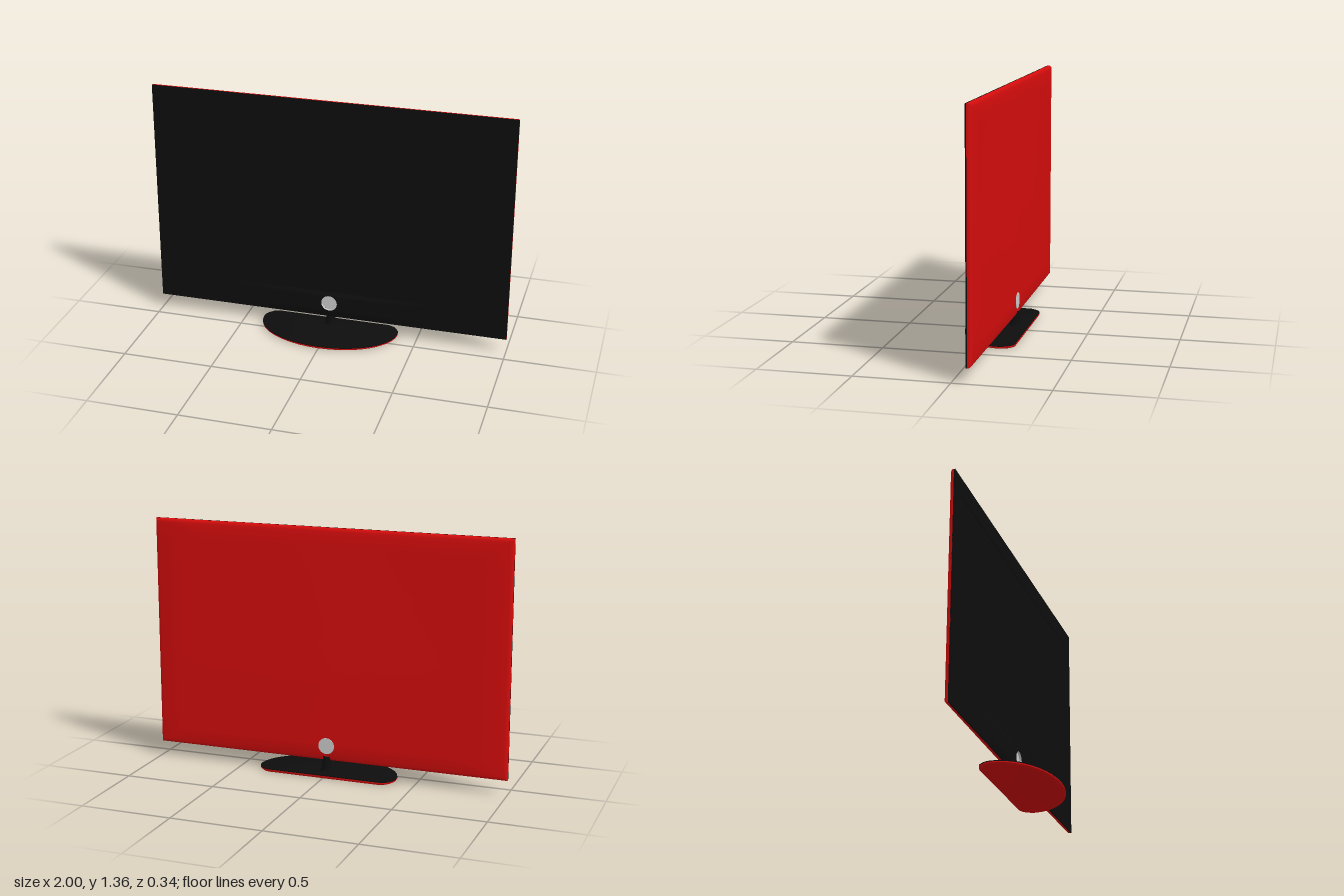
import * as THREE from 'three';
import { toCreasedNormals } from 'three/addons/utils/BufferGeometryUtils.js';

const black = new THREE.MeshStandardMaterial({ color: 0x0d0d0d });
const red = new THREE.MeshStandardMaterial({ color: 0xd40c0c });
const grey = new THREE.MeshStandardMaterial({ color: 0xcccccc, side: THREE.DoubleSide });

const W = 1, BOTTOM = 0.08, TOP = 1.355;           // panel half width, lower and upper edge
const MID = (BOTTOM + TOP) / 2, H = (TOP - BOTTOM) / 2;
const HUB_Y = 0.165, HUB_R = 0.045;                // round hub in the lower bezel

// Skin a list of closed rings, each a list of [x, y, z]
function loft(rings, crease = 0.6) {
  const n = rings[0].length, index = [];
  for (let i = 0; i < rings.length - 1; i++) {
    for (let j = 0; j < n; j++) {
      const a = i * n + j, b = i * n + (j + 1) % n;
      index.push(a, b, a + n, b, b + n, a + n);
    }
  }
  const geo = new THREE.BufferGeometry();
  geo.setAttribute('position', new THREE.Float32BufferAttribute(rings.flat(2), 3));
  geo.setIndex(index);
  return toCreasedNormals(geo, crease);
}

// Unit square outline, counter-clockwise, n points per side
function squareOutline(n) {
  const pts = [];
  for (let side = 0; side < 4; side++) {
    for (let k = 0; k < n; k++) {
      const t = -1 + 2 * k / n;
      pts.push([[t, -1], [1, t], [-t, 1], [-1, -t]][side]);
    }
  }
  return pts;
}

function rectPath(target, x0, y0, x1, y1) {
  target.moveTo(x0, y0);
  target.lineTo(x1, y0);
  target.lineTo(x1, y1);
  target.lineTo(x0, y1);
  target.closePath();
  return target;
}

// Bezel with openings for the screen and the hub
function bezelGeometry() {
  const shape = rectPath(new THREE.Shape(), -W, BOTTOM, W, TOP);
  shape.holes.push(rectPath(new THREE.Path(), -0.9, 0.23, 0.9, 1.25));
  shape.holes.push(new THREE.Path().absarc(0, HUB_Y, HUB_R, 0, Math.PI * 2, true));
  const geo = new THREE.ExtrudeGeometry(shape, { depth: 0.007, bevelEnabled: false, curveSegments: 24 });
  return geo.translate(0, 0, -0.082);
}

// Gentle swelling of the lower bezel, fading to both sides and open around the hub
function swellGeometry() {
  const hx = 0.6, hy = 0.075, cy = 0.155, rings = [];
  for (let i = 0; i <= 10; i++) {
    const t = i / 10;
    rings.push(squareOutline(12).map(([u, v]) => {
      const a = Math.atan2(v, u);
      const x = THREE.MathUtils.lerp(u * hx, HUB_R * Math.cos(a), t);
      const y = THREE.MathUtils.lerp(cy + v * hy, HUB_Y + HUB_R * Math.sin(a), t);
      const rise = Math.min(1, (y - BOTTOM) / 0.035, (0.23 - y) / 0.02);
      return [x, y, -0.0747 + 0.0097 * Math.max(0, rise) * (1 - (x / hx) ** 2)];
    }));
  }
  return loft(rings);
}

// Back shell: rounded rim, then a shallow bulge that grows toward the lower middle
function shellGeometry() {
  const outline = squareOutline(12).reverse();
  const bulge = (x, y) => 0.009 * (1 - Math.abs(x)) * Math.min(1, (TOP - y) / 0.75);
  const rings = [];
  const addRing = (hx, hy, z, amount) => rings.push(outline.map(([u, v]) => {
    const x = u * hx, y = MID + v * hy;
    return [x, y, z - amount * bulge(x, y)];
  }));
  const rim = [[0, -0.08, 0], [0, -0.09, 0], [0.003, -0.096, 0.3], [0.009, -0.101, 0.7], [0.02, -0.104, 1]];
  for (const [inset, z, amount] of rim) addRing(W - inset, H - inset, z, amount);
  for (let i = 7; i >= 0; i--) addRing((W - 0.02) * i / 8, (H - 0.02) * i / 8, -0.104, 1);
  return loft(rings);
}

// Foot outline: half ellipse in front, flat back with rounded corners
function footOutline() {
  const pts = [];
  for (let i = 0; i <= 20; i++) {
    const a = Math.PI * (1 + i / 20);
    pts.push([0.39 * Math.cos(a), -0.09 - 0.255 * Math.sin(a)]);
  }
  const corner = [[0.386, -0.115], [0.372, -0.14], [0.352, -0.16], [0.325, -0.17]];
  pts.push(...corner, ...corner.map(([x, z]) => [-x, z]).reverse());
  return pts;
}

// Foot layers from [scale, height] steps
function footGeometry(steps) {
  const outline = footOutline(), cz = -0.1;
  return loft(steps.map(([s, y]) => outline.map(([x, z]) => [x * s, y, cz + (z - cz) * s])));
}

export function createModel() {
  const model = new THREE.Group();
  const add = (name, geo, mat, parent = model) => {
    const mesh = new THREE.Mesh(geo, mat);
    mesh.name = name;
    parent.add(mesh);
    return mesh;
  };

  // Display panel
  const panel = new THREE.Group();
  panel.name = 'displayPanel';
  model.add(panel);
  add('bezel', bezelGeometry(), black, panel);
  add('lowerBezelSwell', swellGeometry(), black, panel);
  add('screen', new THREE.BoxGeometry(1.8, 1.02, 0.003).translate(0, 0.74, -0.0795), black, panel);
  add('backShell', shellGeometry(), red, panel);

  // Hub disc, recessed in front and flush at the back
  const hub = new THREE.Group();
  hub.name = 'hub';
  hub.position.y = HUB_Y;
  model.add(hub);
  const disc = new THREE.CylinderGeometry(HUB_R, HUB_R, 0.037, 32).rotateX(Math.PI / 2);
  add('hubDisc', disc.translate(0, 0, -0.0965), grey, hub);
  const wall = new THREE.CylinderGeometry(HUB_R, HUB_R, 0.015, 32, 1, true).rotateX(Math.PI / 2);
  add('hubWall', wall.translate(0, 0, -0.0727), grey, hub);

  // Stand
  const stand = new THREE.Group();
  stand.name = 'stand';
  model.add(stand);
  add('footUnderside', footGeometry([[0, 0], [0.97, 0], [1, 0.007], [1, 0.013]]), red, stand);
  add('footTop', footGeometry([[1, 0.013], [1, 0.018], [0.985, 0.02], [0.5, 0.023], [0, 0.027]]), black, stand);
  const neckProfile = [[0.045, 0.02], [0.034, 0.028], [0.028, 0.04], [0.025, 0.06], [0.023, 0.085], [0.023, 0.11]]
    .map(([r, y]) => new THREE.Vector2(r, y));
  add('neck', new THREE.LatheGeometry(neckProfile, 24), black, stand).position.z = -0.101;
  const cap = add('neckCap', new THREE.CircleGeometry(0.023, 24).rotateX(-Math.PI / 2), red, stand);
  cap.position.set(0, 0.11, -0.101);

  return model;
}
